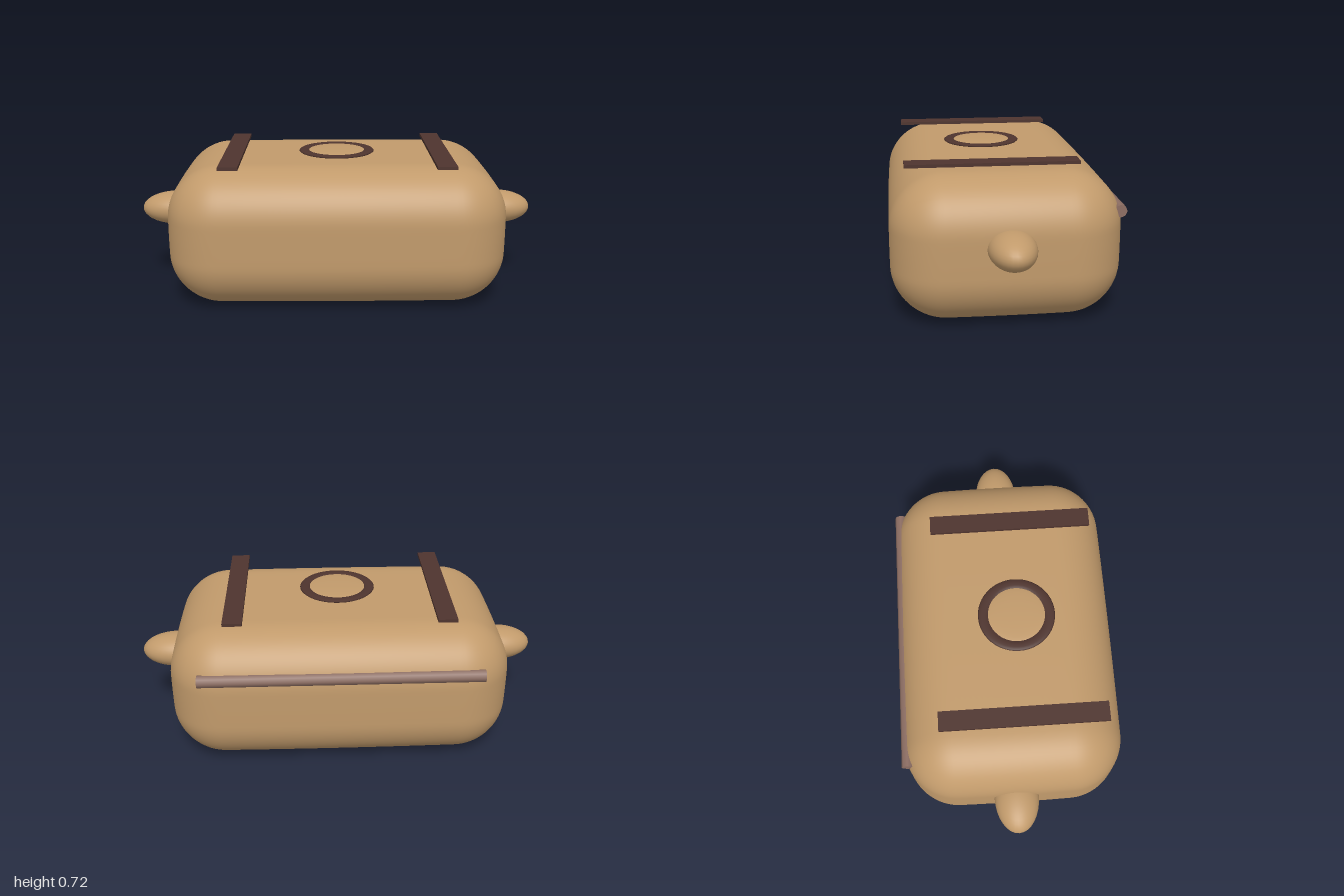
import * as THREE from 'three';
import { mergeVertices } from 'three/addons/utils/BufferGeometryUtils.js';

const mat = (name, color) => {
  const m = new THREE.MeshStandardMaterial({ color });
  m.name = name;
  return m;
};

// Soft pillow-like box: round the edges, then bow the faces slightly
function softBox(hx, hy, hz, r, bow) {
  const geo = new THREE.BoxGeometry(2 * hx, 2 * hy, 2 * hz, 56, 32, 40);
  geo.deleteAttribute('uv');
  geo.deleteAttribute('normal');
  const pos = geo.attributes.position;
  const core = new THREE.Vector3(hx - r, hy - r, hz - r);
  const low = core.clone().negate();
  const p = new THREE.Vector3();
  const c = new THREE.Vector3();
  for (let i = 0; i < pos.count; i++) {
    p.fromBufferAttribute(pos, i);
    c.copy(p).clamp(low, core);
    p.sub(c).setLength(r).add(c);
    const u = (p.x / hx) ** 2, v = (p.y / hy) ** 2, w = (p.z / hz) ** 2;
    pos.setXYZ(i, p.x * (1 - bow * (v + w)), p.y * (1 - bow * (u + w)), p.z * (1 - bow * (u + v)));
  }
  const merged = mergeVertices(geo, 1e-5);
  merged.computeVertexNormals();
  return merged;
}

export function createModel() {
  const model = new THREE.Group();
  const tan = mat('tan canvas', 0xc19a6b);
  const dark = mat('dark leather', 0x4e342e);
  const brown = mat('brown roll', 0x8d6e63);

  const add = (name, geo, material, x, y, z) => {
    const mesh = new THREE.Mesh(geo, material);
    mesh.name = name;
    mesh.position.set(x, y, z);
    model.add(mesh);
    return mesh;
  };

  add('body', softBox(0.825, 0.345, 0.533, 0.25, 0.012), tan, 0, 0.35, 0);

  // End knobs and top straps, mirrored
  for (const [side, s] of [['left', 1], ['right', -1]]) {
    const knob = new THREE.SphereGeometry(1, 32, 20).scale(0.175, 0.084, 0.108);
    add(side + 'Knob', knob, tan, s * 0.825, 0.403, 0.002);
    add(side + 'Strap', new THREE.BoxGeometry(0.094, 0.015, 0.8), dark, s * 0.508, 0.713, 0.055);
  }

  // Flat ring on the lid with a shallow dome inside it
  const ring = new THREE.TorusGeometry(0.161, 0.026, 10, 48).rotateX(Math.PI / 2).scale(1, 0.28, 1);
  add('lidRing', ring, dark, 0, 0.715, 0.055);
  const dome = new THREE.SphereGeometry(0.145, 32, 16).scale(1, 0.07, 1);
  add('lidDome', dome, tan, 0, 0.715, 0.055);

  // Rod along the upper back edge
  const rod = new THREE.CylinderGeometry(0.03, 0.03, 1.34, 8).rotateZ(Math.PI / 2);
  add('backRod', rod, brown, 0, 0.51, -0.51);

  return model;
}
